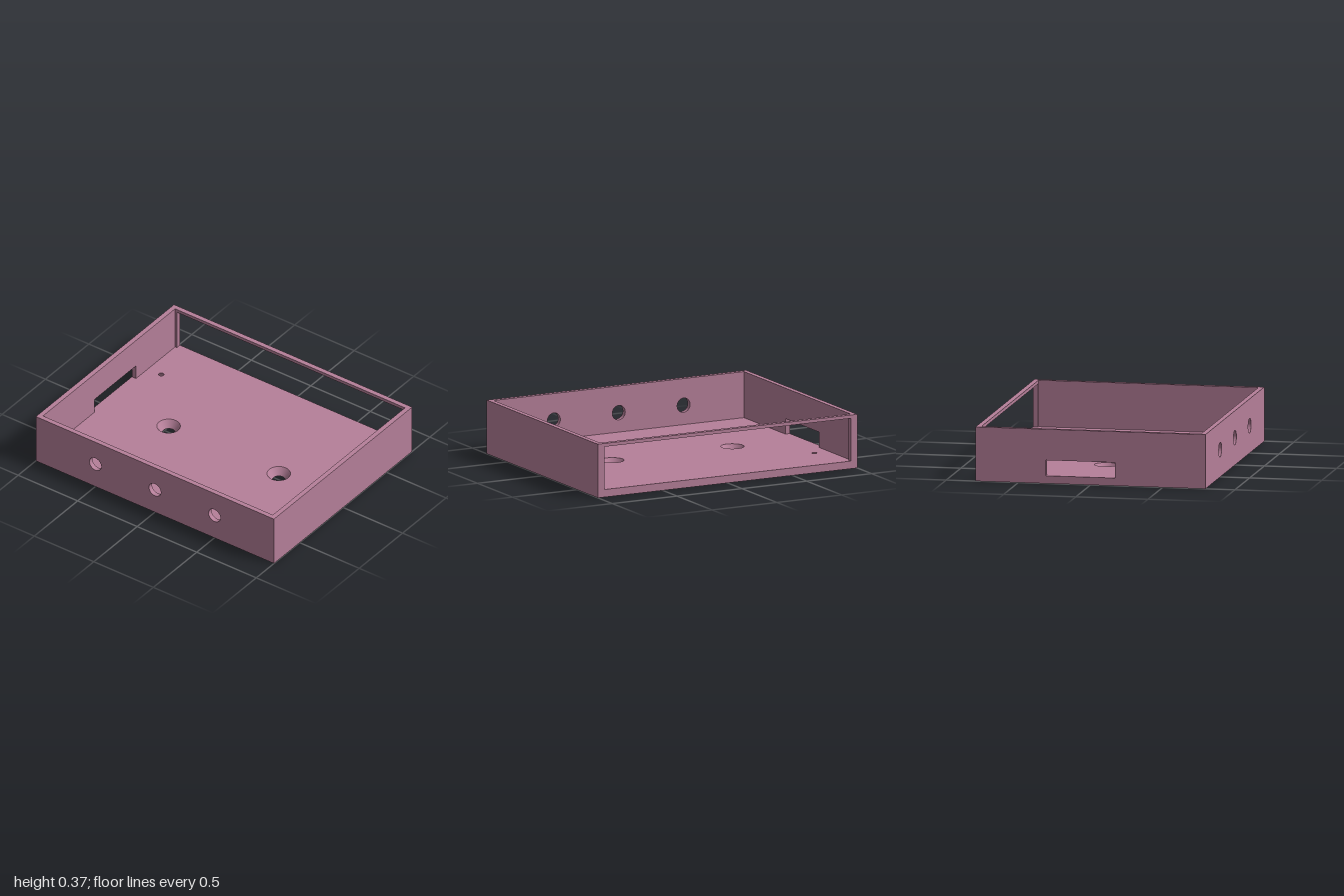
import * as THREE from 'three';
import { toCreasedNormals } from 'three/addons/utils/BufferGeometryUtils.js';

const W = 1, D = 0.796, H = 0.373; // half width, half depth, height
const T = 0.035, FLOOR = 0.053; // wall and floor thickness

function rect(x0, y0, x1, y1, Type = THREE.Shape) {
  return new Type([[x0, y0], [x1, y0], [x1, y1], [x0, y1]].map(p => new THREE.Vector2(...p)));
}

function circle(x, y, r) {
  return new THREE.Path().absarc(x, y, r, 0, Math.PI * 2, true);
}

export function createModel() {
  const model = new THREE.Group();
  model.name = 'enclosureTray';
  const material = new THREE.MeshStandardMaterial({ color: 0xb57f99 });
  const openMaterial = new THREE.MeshStandardMaterial({ color: 0xb57f99, side: THREE.DoubleSide });

  function add(name, geometry, parent = model, mat = material) {
    const mesh = new THREE.Mesh(geometry, mat);
    mesh.name = name;
    parent.add(mesh);
    return mesh;
  }

  // Upright panel with cut-outs, extruded along +z
  function panel(half, holes) {
    const shape = rect(-half, 0, half, H);
    shape.holes.push(...holes);
    const geo = new THREE.ExtrudeGeometry(shape, { depth: T, bevelEnabled: false, curveSegments: 32 });
    return toCreasedNormals(geo, 0.5);
  }

  // Front wall with three round holes
  add('frontWall', panel(W, [-0.5, 0, 0.5].map(x => circle(x, 0.188, 0.05))))
    .position.z = D - T;

  // Back wall with a wide window
  add('backWall', panel(W, [rect(-0.95, FLOOR, 0.95, 0.35, THREE.Path)]))
    .position.z = -D;

  // Side walls: plain on the left, slotted on the right
  add('leftWall', panel(D - T, []).rotateY(Math.PI / 2)).position.x = W - T;
  add('rightWall', panel(D - T, [rect(-0.17, FLOOR, 0.31, 0.16, THREE.Path)]).rotateY(Math.PI / 2))
    .position.x = -W;

  // Floor holes: two countersunk from above, four from below
  const holes = [];
  for (const x of [-0.465, 0.46]) holes.push({ x, z: 0, top: 0.08, bottom: 0.043 });
  for (const x of [-0.855, 0.885])
    for (const z of [-0.45, 0.45]) holes.push({ x, z, top: 0.018, bottom: 0.045 });

  const floor = new THREE.Group();
  floor.name = 'floor';
  model.add(floor);

  // Floor faces
  for (const [key, y, sign] of [['top', FLOOR, -1], ['bottom', 0, 1]]) {
    const shape = rect(-W + T, -D + T, W - T, D - T);
    shape.holes.push(...holes.map(h => circle(h.x, sign * h.z, h[key])));
    const geo = new THREE.ShapeGeometry(shape, 32).rotateX(sign * Math.PI / 2);
    add(key + 'Face', geo, floor).position.y = y;
  }

  // Tapered hole linings
  for (const h of holes) {
    const geo = new THREE.CylinderGeometry(h.top, h.bottom, FLOOR, 64, 1, true);
    add('countersink', geo, floor, openMaterial).position.set(h.x, FLOOR / 2, h.z);
  }

  return model;
}
